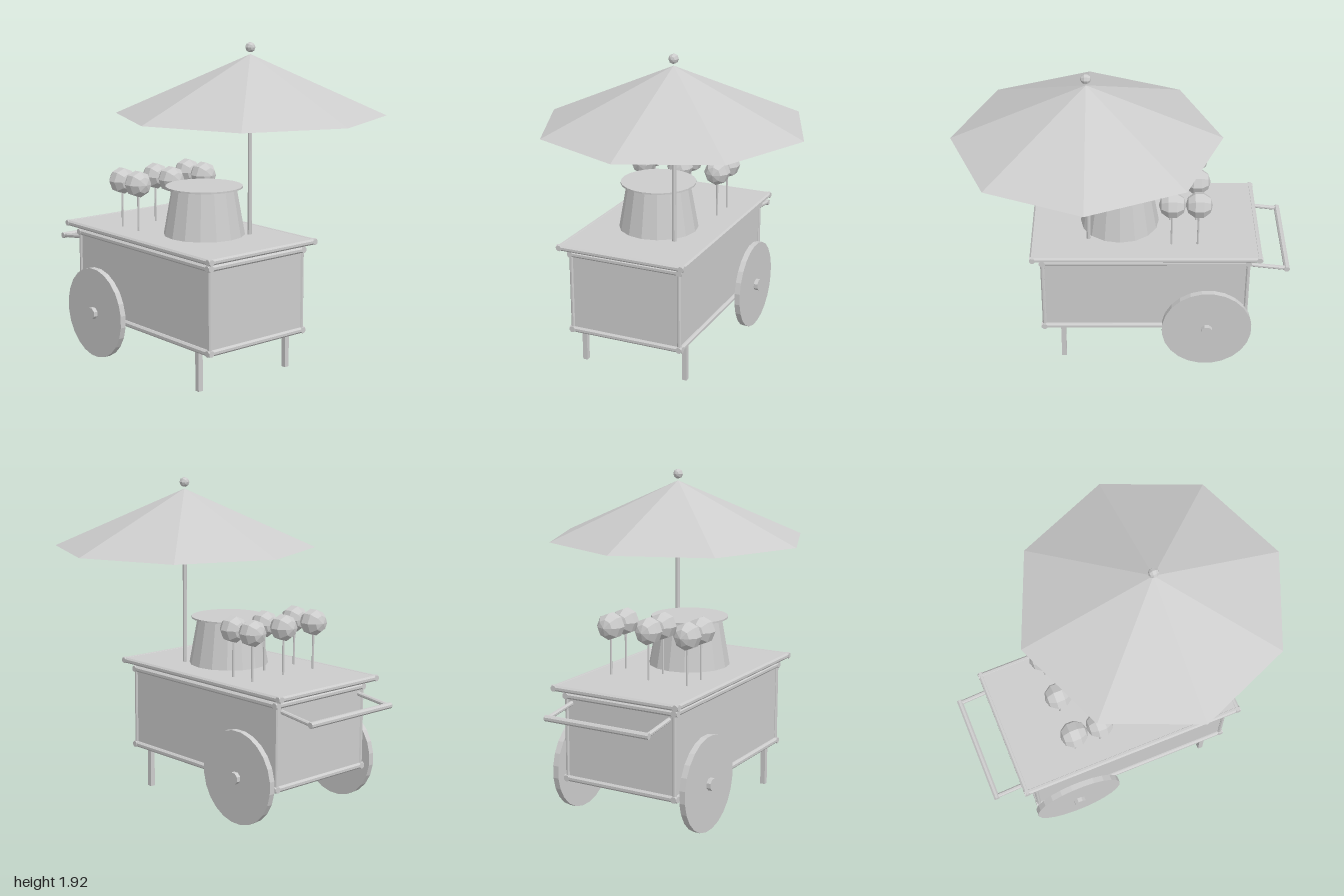
import * as THREE from 'three';

export function createModel() {
  const model = new THREE.Group();
  const grey = new THREE.MeshStandardMaterial({ color: 0xcccccc, flatShading: true });
  const greyThin = new THREE.MeshStandardMaterial({ color: 0xcccccc, flatShading: true, side: THREE.DoubleSide });
  greyThin.name = 'light grey canopy';
  grey.name = 'light grey';

  const add = (name, geo, x, y, z, parent = model, mat = grey) => {
    const mesh = new THREE.Mesh(geo, mat);
    mesh.name = name;
    mesh.position.set(x, y, z);
    parent.add(mesh);
    return mesh;
  };
  const box = (name, x0, x1, y0, y1, z0, z1, parent) =>
    add(name, new THREE.BoxGeometry(x1 - x0, y1 - y0, z1 - z0),
      (x0 + x1) / 2, (y0 + y1) / 2, (z0 + z1) / 2, parent);
  // round rod between two points
  const rod = (name, a, b, r, parent, sides = 8) => {
    const p = new THREE.Vector3(...a), q = new THREE.Vector3(...b);
    const d = q.clone().sub(p);
    const mid = p.clone().add(q).multiplyScalar(0.5);
    const mesh = add(name, new THREE.CylinderGeometry(r, r, d.length(), sides).rotateY(Math.PI / sides),
      mid.x, mid.y, mid.z, parent);
    mesh.quaternion.setFromUnitVectors(new THREE.Vector3(0, 1, 0), d.normalize());
    return mesh;
  };
  // four rods around a rectangle
  const rails = (name, x0, x1, y, z0, z1, r) => {
    const g = new THREE.Group();
    g.name = name;
    for (const z of [z0, z1]) rod('crossRail', [x0 - r, y, z], [x1 + r, y, z], r, g);
    for (const x of [x0, x1]) rod('sideRail', [x, y, z0 - r], [x, y, z1 + r], r, g);
    model.add(g);
  };

  const cx = -0.19; // centre line of the cart

  // cart body with corner posts and trim
  box('body', -0.54, 0.16, 0.24, 0.77, -0.75, 0.495);
  for (const x of [-0.538, 0.158])
    for (const z of [-0.745, 0.49]) rod('cornerPost', [x, 0.25, z], [x, 0.75, z], 0.013);
  rails('bottomTrim', -0.54, 0.16, 0.25, -0.745, 0.49, 0.019);
  rails('topTrim', -0.54, 0.16, 0.733, -0.745, 0.49, 0.019);

  // table top with rounded edging
  box('tableTop', -0.58, 0.2, 0.77, 0.8, -0.805, 0.545);
  rails('tableEdge', -0.582, 0.198, 0.785, -0.806, 0.545, 0.018);

  // front legs
  for (const s of [-1, 1])
    box('frontLeg', cx + s * 0.332 - 0.015, cx + s * 0.332 + 0.015, 0, 0.25, 0.36, 0.39);

  // wheels and axle
  const wheelY = 0.28, wheelZ = -0.505;
  for (const s of [-1, 1])
    rod('wheel', [cx + s * 0.395, wheelY, wheelZ], [cx + s * 0.43, wheelY, wheelZ], 0.275, model, 24);
  rod('axle', [cx - 0.455, wheelY, wheelZ], [cx + 0.455, wheelY, wheelZ], 0.036);

  // push handle
  const handle = new THREE.Group();
  handle.name = 'pushHandle';
  model.add(handle);
  for (const x of [-0.505, 0.125]) rod('handleArm', [x, 0.695, -0.74], [x, 0.665, -0.98], 0.013, handle);
  rod('handleBar', [-0.52, 0.665, -0.981], [0.14, 0.665, -0.981], 0.018, handle);

  // tapered pot with a thin lid
  add('pot', new THREE.CylinderGeometry(0.19, 0.24, 0.28, 16), cx, 0.94, 0.025);
  add('potLid', new THREE.CylinderGeometry(0.227, 0.227, 0.01, 24), cx, 1.083, 0.025);

  // round sweets on sticks
  const ball = (r) => new THREE.SphereGeometry(r, 8, 5).rotateX(Math.PI / 2);
  for (const x of [-0.44, cx, 0.06])
    for (const z of [-0.285, -0.443]) {
      rod('sweetStick', [x, 0.79, z], [x, 1.05, z], 0.007, model, 6);
      add('sweetBall', ball(0.081), x, 1.083, z);
    }

  // parasol
  const pz = 0.213;
  rod('parasolPole', [0, 0.765, pz], [0, 1.64, pz], 0.013);
  add('parasolCanopy', new THREE.ConeGeometry(0.782, 0.345, 8, 1, true), 0, 1.6825, pz, model, greyThin);
  add('parasolFinial', ball(0.03), 0, 1.894, pz);

  return model;
}
